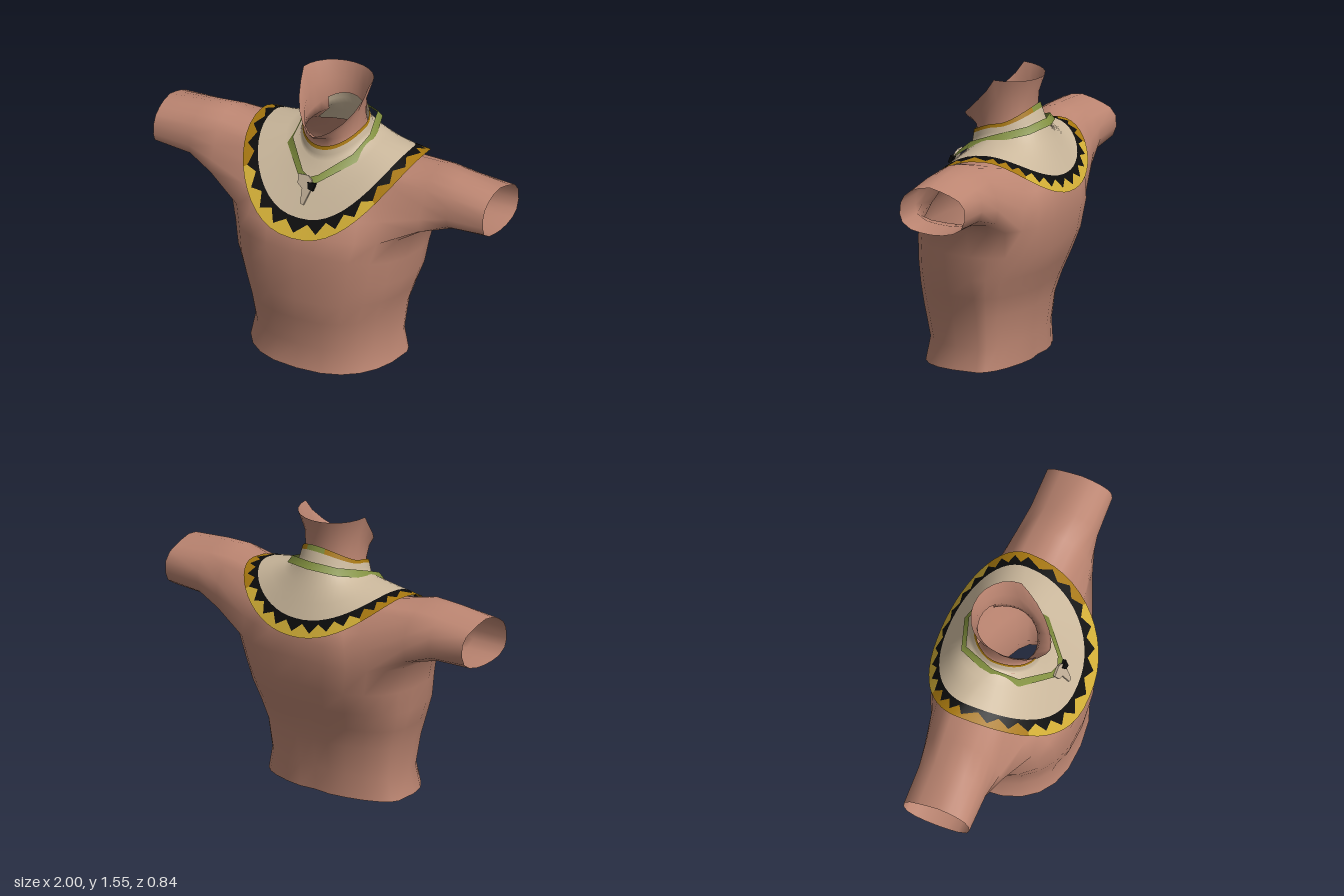
import * as THREE from 'three';

const mat = (name, color) =>
  new THREE.MeshStandardMaterial({ name, color, side: THREE.DoubleSide });
const lerp = THREE.MathUtils.lerp;

function makeMesh(name, verts, index, material) {
  const g = new THREE.BufferGeometry();
  g.setAttribute('position', new THREE.Float32BufferAttribute(verts.flat(), 3));
  g.setIndex(index);
  g.computeVertexNormals();
  const m = new THREE.Mesh(g, material);
  m.name = name;
  return m;
}

// Point on a horizontal ring; t = 0 is the front, t = PI/2 the left side.
// pf and pb set how square the front and back halves are, zc is the widest z.
function ringPoint(t, [yf, ys, yb, w, zf, zb, pf, pb, yPow = 1.5], zc) {
  const s = Math.sin(t), c = Math.cos(t);
  const e = v => Math.sign(v) * Math.pow(Math.abs(v), c > 0 ? pf : pb);
  const y = ys + ((c > 0 ? yf : yb) - ys) * Math.pow(Math.abs(c), yPow);
  return [w * e(s), y, zc + (c > 0 ? zf - zc : zc - zb) * e(c)];
}

// Torso, arms and neck as one smooth open shell
function makeBody(skin) {
  const N = 24;
  // front y, side y, back y, half width, front z, back z, front and back power, height power
  const rows = [
    [0.00, 0.02, 0.03, 0.43, 0.37, -0.225, 0.82, 1.08],
    [0.13, 0.14, 0.16, 0.405, 0.345, -0.225, 0.82, 1.08],
    [0.30, 0.32, 0.32, 0.43, 0.378, -0.245, 0.82, 1.05],
    [0.42, 0.43, 0.43, 0.467, 0.39, -0.28, 0.82, 1],
    [0.55, 0.54, 0.54, 0.505, 0.39, -0.325, 0.8, 0.95],
    [0.70, 0.67, 0.66, 0.522, 0.39, -0.37, 0.8, 0.88],
    [0.80, 0.82, 0.81, 0.56, 0.362, -0.387, 0.8, 0.82],
    [0.90, 0.93, 0.92, 0.53, 0.30, -0.385, 0.8, 0.8],
    [0.98, 1.04, 0.99, 0.49, 0.225, -0.36, 0.8, 0.8],
    [1.07, 1.15, 1.09, 0.42, 0.165, -0.30, 1, 1],
    [1.14, 1.18, 1.17, 0.28, 0.12, -0.26, 1, 1],
    [1.20, 1.24, 1.28, 0.165, 0.115, -0.22, 1, 1],
    [1.26, 1.295, 1.37, 0.158, 0.13, -0.198, 1, 1],
    [1.285, 1.43, 1.45, 0.162, 0.19, -0.205, 1.25, 1, 1],
    [1.30, 1.55, 1.54, 0.20, 0.20, -0.235, 1.25, 1, 1],
  ];
  const v = [], idx = [];
  rows.forEach((row, j) => {
    for (let i = 0; i < N; i++) {
      const q = ringPoint(i / N * Math.PI * 2, row, -0.045);
      if (i === 12 && j < 9) q[2] += 0.015;               // spine groove
      v.push(q);
    }
  });
  const id = (i, j) => j * N + (i + N) % N;
  const quad = (a, b, c, d, flip) => flip
    ? idx.push(a, c, b, a, d, c) : idx.push(a, b, c, a, c, d);
  for (let j = 0; j < rows.length - 1; j++) for (let i = 0; i < N; i++) {
    const armHole = j >= 6 && j < 9 && ((i >= 3 && i < 9) || (i >= 15 && i < 21));
    const underCollar = (j === 10 || j === 11) && i >= 9 && i < 15;
    if (!armHole && !underCollar) quad(id(i, j), id(i + 1, j), id(i + 1, j + 1), id(i, j + 1));
  }
  // Arms grow out of the side openings; arm end outline as z, y
  const cols = [3, 4, 5, 6, 7, 8, 9];
  const hole = [...cols.map(c => [c, 6]), [9, 7], [9, 8],
    ...cols.map(c => [12 - c, 9]), [3, 8], [3, 7]];
  const end = [[0.13, 0.965], [0.08, 0.93], [0.02, 0.918], [-0.04, 0.913], [-0.1, 0.916],
    [-0.16, 0.93], [-0.205, 0.96], [-0.225, 1.01], [-0.222, 1.07], [-0.19, 1.112],
    [-0.14, 1.135], [-0.09, 1.152], [-0.03, 1.167], [0.03, 1.16], [0.08, 1.14],
    [0.12, 1.11], [0.14, 1.07], [0.145, 1.01]];
  // x, blend towards the end outline, lift of the shoulder top
  const stations = [[0.63, 0.6, 0.045], [0.78, 0.93, 0.025], [1, 1, 0]];
  for (const side of [1, -1]) {
    const base = hole.map(([i, j]) => id(side > 0 ? i : N - i, j));
    let prev = base;
    for (const [x, mix, lift] of stations) {
      const ring = base.map((b, k) => {
        const y = lerp(v[b][1], end[k][1], mix);
        const z = lerp(v[b][2], end[k][0], mix);
        return v.push([side * x, y + lift * Math.max(0, (y - 1.08) / 0.085), z]) - 1;
      });
      ring.forEach((r, k) => {
        const n = (k + 1) % ring.length;
        quad(prev[k], prev[n], ring[n], r, side < 0);
      });
      prev = ring;
    }
  }
  return makeMesh('body', v, idx, skin);
}

// Collar surface: level -1 at the neck edge, 0 at the neck base, 1 at the outer rim
const collarTop = [1.22, 1.305, 1.39, 0.172, 0.14, -0.21, 1, 1];
const collarBase = [1.14, 1.235, 1.28, 0.19, 0.15, -0.25, 1, 1];
const collarRim = [0.80, 1.185, 0.95, 0.492, 0.42, -0.422, 0.86, 0.95, 1.9];
function collarPoint(t, level) {
  const a = ringPoint(t, collarBase, -0.05);
  const b = level < 0 ? ringPoint(t, collarTop, -0.05) : ringPoint(t, collarRim, -0.12);
  return a.map((q, k) => lerp(q, b[k], Math.abs(level)));
}

// Band of the collar through several levels (numbers or functions of the column)
function collarBand(name, levels, material, keep = () => true) {
  const N = 56, v = [], idx = [];
  for (const level of levels) for (let i = 0; i < N; i++) {
    v.push(collarPoint(i / N * Math.PI * 2, typeof level === 'function' ? level(i) : level));
  }
  for (let j = 0; j < levels.length - 1; j++) for (let i = 0; i < N; i++) {
    if (!keep((i + 0.5) / N * Math.PI * 2)) continue;
    const n = (i + 1) % N, a = j * N, b = a + N;
    idx.push(a + i, a + n, b + n, a + i, b + n, b + i);
  }
  return makeMesh(name, v, idx, material);
}

// Flat cord lying on the collar, straight between its bends
function makeCord(material) {
  const half = [[0, 1.3, -0.272], [0.16, 1.285, -0.225], [0.215, 1.235, -0.05],
    [0.195, 1.18, 0.1], [0.05, 1.08, 0.235]];
  const loop = [...half, [0, 1.06, 0.25],
    ...half.slice(1).reverse().map(([x, y, z]) => [-x, y, z])];
  const v = [], idx = [];
  loop.forEach(([x, y, z], k) => {
    const r = Math.hypot(x, z), n = (k + 1) % loop.length;
    for (const d of [1, -1]) {
      v.push([x + d * 0.015 * x / r, y - d * 0.018, z + d * 0.013 * z / r]);
    }
    idx.push(2 * k, 2 * k + 1, 2 * n, 2 * k + 1, 2 * n + 1, 2 * n);
  });
  return makeMesh('necklaceCord', v, idx, material);
}

export function createModel() {
  const skin = mat('skin', 0xbd8672);
  const cloth = mat('beige cloth', 0xcbb89c);
  const gold = mat('gold', 0xd2ae36);
  const darkGold = mat('dark gold', 0xa8780f);
  const black = mat('black', 0x0c0c0c);
  const green = mat('green', 0x82903f);
  const bone = mat('bone', 0xc4b199);

  const model = new THREE.Group();
  model.add(makeBody(skin));

  // Collar with a toothed black and gold border
  const collar = new THREE.Group();
  collar.name = 'collar';
  const teeth = i => (i % 2 ? 0.8 : 0.93);
  const shoulder = t => Math.abs(Math.sin(t)) > 0.76;
  const nape = t => Math.abs(t - Math.PI) < 0.3;
  collar.add(
    collarBand('collarCloth', [0.74, 0.5, 0.25, 0, -0.4, -0.76], cloth),
    collarBand('collarTeeth', [teeth, 0.74], black),
    collarBand('collarBorder', [1, teeth], gold, t => !shoulder(t)),
    collarBand('shoulderBorder', [1, teeth], darkGold, shoulder),
    collarBand('neckTrim', [-0.76, -1.02], darkGold, t => !nape(t)),
    collarBand('napeTrim', [-0.76, -1.02], green, nape),
  );
  model.add(collar);
  model.add(makeCord(green));

  // Tooth-shaped pendant with a dark bead plate
  const plate = (name, pts, depth, material) => {
    const shape = new THREE.Shape(pts.map(p => new THREE.Vector2(...p)));
    const m = new THREE.Mesh(
      new THREE.ExtrudeGeometry(shape, { depth, bevelEnabled: false }), material);
    m.name = name;
    return m;
  };
  const pendant = new THREE.Group();
  pendant.name = 'pendant';
  pendant.add(
    plate('tooth', [[-0.06, 0.005], [-0.05, -0.045], [-0.02, -0.065], [-0.012, -0.145],
      [0.008, -0.15], [0.03, -0.07], [0.025, -0.01], [0, 0.01]], 0.012, bone),
    plate('darkBead', [[0.006, -0.025], [0.018, -0.06], [0.045, -0.065], [0.055, -0.02]],
      0.018, black),
  );
  pendant.position.set(0, 1.08, 0.24);
  pendant.rotation.x = -0.43;
  model.add(pendant);

  return model;
}
